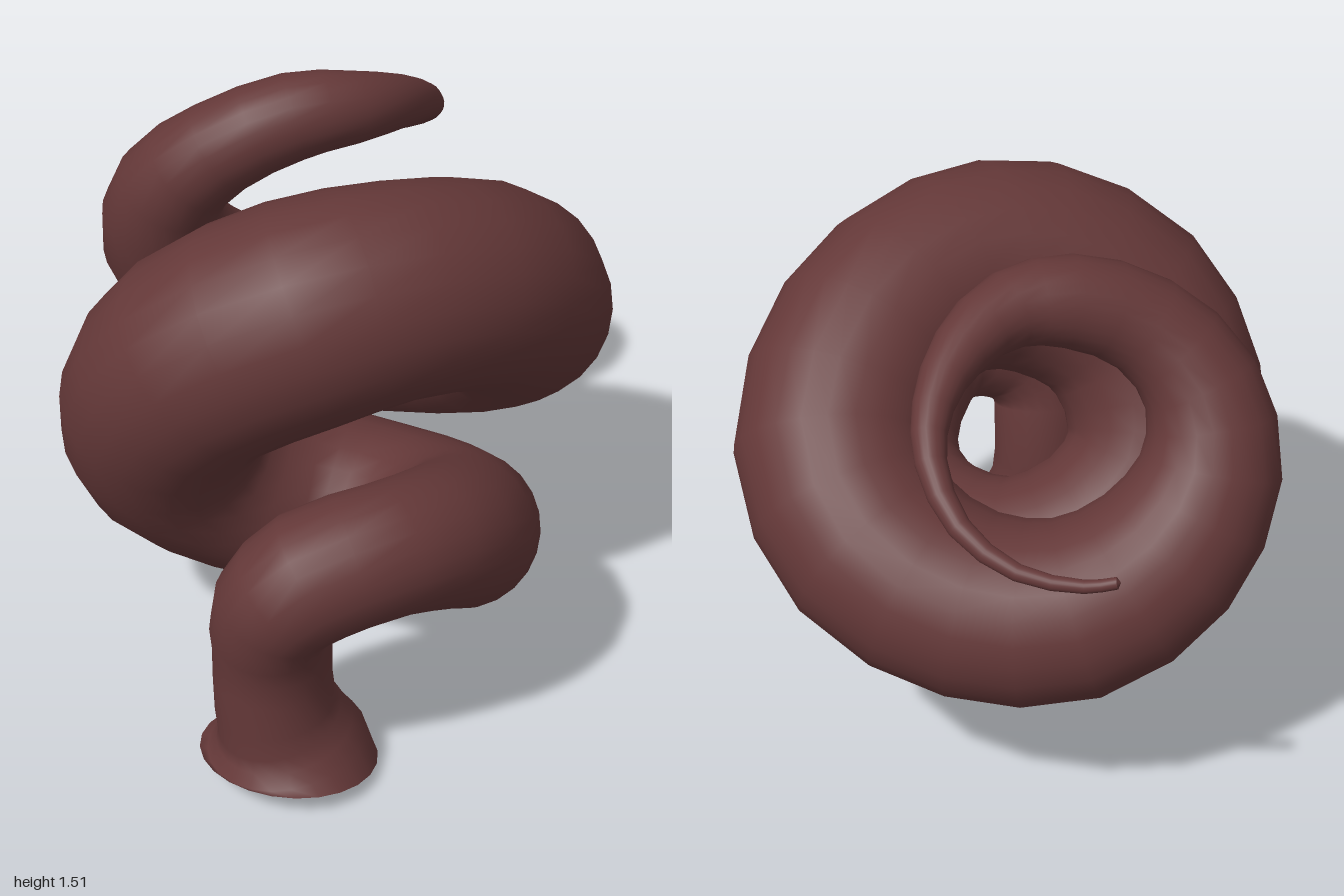
import * as THREE from 'three';

// Centre line of the coil: x, y, z, tube radius
const PATH = [
  // flared foot and upright neck
  [-0.2, 0.045, 0.755, 0.235], [-0.212, 0.125, 0.755, 0.182], [-0.235, 0.22, 0.762, 0.158],
  [-0.24, 0.4, 0.765, 0.154], [-0.235, 0.55, 0.805, 0.16],
  // small front loop
  [-0.14, 0.66, 0.828, 0.173], [0.05, 0.7, 0.79, 0.172], [0.21, 0.63, 0.645, 0.19],
  [0.285, 0.505, 0.45, 0.213], [0.21, 0.4, 0.25, 0.238], [0, 0.367, 0.09, 0.252],
  // large middle loop
  [-0.27, 0.45, 0.07, 0.265], [-0.45, 0.62, 0.13, 0.28], [-0.475, 0.82, 0.235, 0.285],
  [-0.37, 1.02, 0.345, 0.295], [-0.13, 1.155, 0.395, 0.298], [0.12, 1.18, 0.34, 0.282],
  [0.36, 1.09, 0.175, 0.277], [0.485, 0.9, -0.045, 0.273], [0.41, 0.72, -0.265, 0.265],
  // narrowing rear loop
  [0.18, 0.617, -0.43, 0.252], [-0.08, 0.63, -0.51, 0.243], [-0.32, 0.76, -0.485, 0.22],
  [-0.45, 0.96, -0.41, 0.187], [-0.435, 1.16, -0.32, 0.155], [-0.3, 1.31, -0.25, 0.132],
  [-0.1, 1.395, -0.245, 0.12],
  // thin tail
  [0.06, 1.4, -0.275, 0.1], [0.2, 1.36, -0.385, 0.075], [0.29, 1.29, -0.525, 0.052],
  [0.315, 1.21, -0.65, 0.04], [0.27, 1.11, -0.79, 0.03], [0.15, 1.04, -0.9, 0.022],
  [0, 1.025, -0.965, 0.017], [-0.075, 1.04, -0.985, 0.015],
];
const SIDES = 24;
const STEPS = (PATH.length - 1) * 2;

// Builds a smooth skin through rings of equal point count
function skin(rings) {
  const positions = rings.flat().flatMap((p) => [p.x, p.y, p.z]);
  const index = [];
  for (let i = 0; i < rings.length - 1; i++) {
    for (let j = 0; j < SIDES; j++) {
      const k = (j + 1) % SIDES;
      const a = i * SIDES + j, b = i * SIDES + k;
      index.push(a, b, a + SIDES, b, b + SIDES, a + SIDES);
    }
  }
  const geo = new THREE.BufferGeometry();
  geo.setAttribute('position', new THREE.Float32BufferAttribute(positions, 3));
  geo.setIndex(index);
  geo.computeVertexNormals();
  return geo;
}

export function createModel() {
  const group = new THREE.Group();
  group.name = 'coiledHorn';
  const brown = new THREE.MeshStandardMaterial({ color: 0x643838 });
  brown.name = 'dark reddish brown';

  const line = new THREE.CatmullRomCurve3(PATH.map((p) => new THREE.Vector3(p[0], p[1], p[2])));
  const size = new THREE.SplineCurve(PATH.map((p, i) => new THREE.Vector2(i, p[3])));

  // Carry one cross-section frame along the line without twisting
  const normal = new THREE.Vector3(1, 0, 0);
  const rings = [];
  for (let i = 0; i <= STEPS; i++) {
    const t = i / STEPS;
    const centre = line.getPoint(t);
    const radius = size.getPoint(t).y;
    const tangent = i === 0 ? new THREE.Vector3(0.1, 1, -0.14).normalize() : line.getTangent(t);
    normal.addScaledVector(tangent, -normal.dot(tangent)).normalize();
    const side = new THREE.Vector3().crossVectors(tangent, normal);
    rings.push(Array.from({ length: SIDES }, (_, j) => {
      const a = (j / SIDES) * Math.PI * 2;
      return centre.clone()
        .addScaledVector(normal, Math.cos(a) * radius)
        .addScaledVector(side, Math.sin(a) * radius);
    }));
  }
  const coil = new THREE.Mesh(skin(rings), brown);
  coil.name = 'coil';
  group.add(coil);

  // Caps: a hollow under the foot and a closed tail tip
  const shrink = (ring, centre, f) => ring.map((p) => centre.clone().lerp(p, f));
  const foot = rings[0];
  const hollow = new THREE.Vector3(-0.22, 0.18, 0.757);
  const footCap = new THREE.Mesh(
    skin([shrink(foot, hollow, 0), shrink(foot, hollow, 0.6), foot]), brown);
  footCap.name = 'footHollow';
  const tip = rings[STEPS];
  const tipCap = new THREE.Mesh(
    skin([tip, shrink(tip, new THREE.Vector3(-0.083, 1.042, -0.987), 0)]), brown);
  tipCap.name = 'tailTip';
  group.add(footCap, tipCap);
  return group;
}
